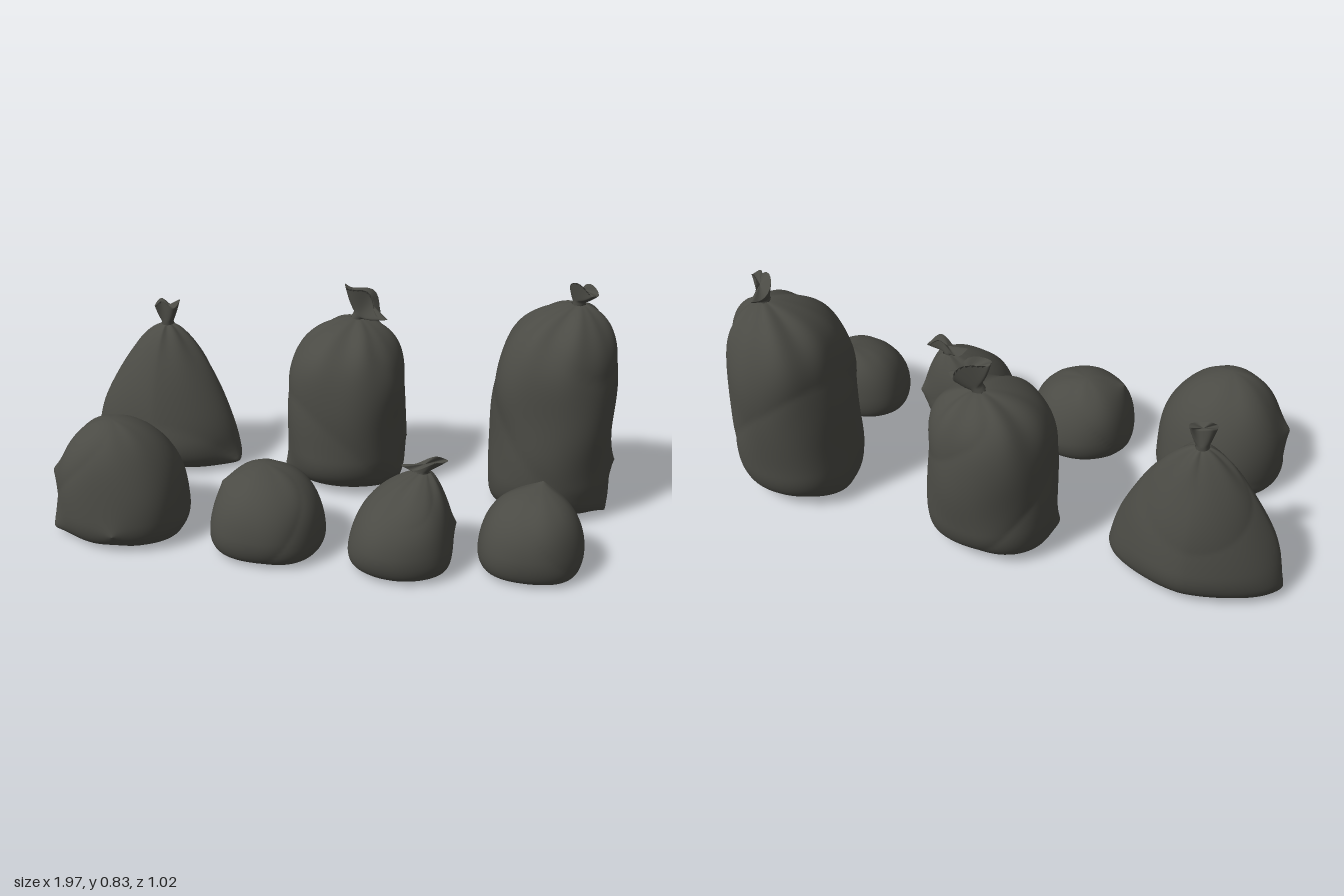
import * as THREE from 'three';

const plastic = new THREE.MeshStandardMaterial({ color: 0x4b4b45, side: THREE.DoubleSide });
plastic.name = 'dark grey plastic';

const FLOOR = 0.02, NECK = 0.022;
const vec = a => new THREE.Vector3(...a);
const spow = (v, p) => Math.sign(v) * Math.abs(v) ** p;

// Skin made of closed rings: point(row, angle) gives each vertex
function ringSkin(rows, sides, point) {
  const pos = [], idx = [];
  for (let j = 0; j <= rows; j++)
    for (let i = 0; i < sides; i++) pos.push(...point(j / rows, i / sides * Math.PI * 2).toArray());
  for (let j = 0; j < rows; j++)
    for (let i = 0; i < sides; i++) {
      const k = (i + 1) % sides, a = j * sides + i, b = j * sides + k;
      idx.push(a, a + sides, b, b, a + sides, b + sides);
    }
  const g = new THREE.BufferGeometry();
  g.setAttribute('position', new THREE.Float32BufferAttribute(pos, 3));
  g.setIndex(idx);
  g.computeVertexNormals();
  return g;
}

// Quarter-round narrowing towards the floor: amount lost at floor level, over a given height
function footScale(y, amount, height) {
  const u = 1 - Math.min(1, (y - FLOOR) / height);
  return 1 - amount * (1 - Math.sqrt(1 - u * u));
}

// Sack body: its outline shrinks towards the neck by w = (1 - h^p)^(1/q)
function sackBody({ x, z, neck, p, q, round = 2.15, keel = 0.22, corners, tuft }, seed) {
  const [nx, ny, nz] = neck, r = tuft ? NECK : 0, folds = tuft ? 0.1 : 0.03;
  const cx = (x[0] + x[1]) / 2, cz = (z[0] + z[1]) / 2;
  const rx = (x[1] - x[0]) / 2, rz = (z[1] - z[0]) / 2;
  return ringSkin(72, 80, (t, a) => {
    // flat underside first, then the wall from floor to neck
    const s = Math.max(0, (t - 0.1) / 0.9), h = (1 - Math.cos(Math.PI * s)) / 2;
    const y = FLOOR + h * (ny - FLOOR);
    const w = Math.max(0, 1 - h ** p) ** (1 / q);
    // gathers near the neck, broad dents and a few slanting creases
    const gather = folds * h ** 8 * (Math.sin(6 * a + seed) + 0.6 * Math.sin(9 * a + seed * 2));
    const dent = 0.012 * Math.sin(3 * a + y * 11 + seed) + 0.01 * Math.sin(5 * a - y * 15 + seed * 3)
      + 0.006 * Math.sin(2 * a + y * 22 + seed * 5);
    const crease = 0.022 * (1 - Math.abs(Math.sin(1.5 * Math.sin(a + seed) + y * 7 + seed))) ** 3;
    const k = Math.min(1, t / 0.1) * (0.995 + gather + dent - crease);
    const kx = k * footScale(y, 0.12, 0.06), kz = k * footScale(y, keel, 0.06 + keel * 0.15);
    const v = new THREE.Vector3(
      nx + (cx - nx) * w + spow(Math.cos(a), 2 / round) * kx * (r + (rx - r) * w), y,
      nz + (cz - nz) * w + spow(Math.sin(a), 2 / round) * kz * (r + (rz - r) * w));
    // pull the nearby skin out into pinched corners
    for (const c of corners) {
      const target = vec(c);
      v.lerp(target, 0.95 * Math.exp(-v.distanceToSquared(target) / 0.003));
    }
    return v;
  });
}

// Crumpled tuft flaring out of the tied neck
function tuftSkin(neck, { end, half }, seed) {
  const A = vec(neck), W = vec(half), axis = vec(end).sub(A);
  A.addScaledVector(axis, -0.1);
  const width = W.length(), thick = 0.014 + width * 0.12;
  const dir = W.clone().normalize(), up = axis.clone().normalize();
  const side = dir.clone().cross(up).normalize();
  return ringSkin(16, 40, (t, a) => {
    const open = t < 1 ? 1 : 0, s = open ? Math.min(1, t * 16 / 15) : 0.9, c = Math.cos(a);
    const flare = Math.max(0, (s - 0.25) / 0.75) ** 0.8;
    const wave = open * flare;
    return A.clone().addScaledVector(axis, s * 1.1)
      .addScaledVector(dir, open * c * (NECK + (width - NECK) * flare))
      .addScaledVector(side, open * Math.sin(a) * (NECK + (thick - NECK) * flare)
        + wave * thick * 0.7 * Math.sin(c * 3.5 + seed * 2))
      .addScaledVector(up, wave * width * 0.2 * Math.sin(c * 4 + seed));
  });
}

// Outline limits in x and z, neck point, profile powers, pinched corners, tied tuft
const sacks = {
  tallSack: { x: [0.55, 0.978], z: [-0.505, -0.055], neck: [0.82, 0.755, -0.3], p: 7.5, q: 1.4, keel: 0.55,
    corners: [[0.985, 0, -0.25], [0.995, 0.2, -0.28]],
    tuft: { end: [0.83, 0.815, -0.295], half: [0.035, 0.015, 0.08] } },
  middleSack: { x: [-0.2, 0.235], z: [-0.51, -0.07], neck: [0.042, 0.62, -0.333], p: 7, q: 1.45, keel: 0.5,
    corners: [[-0.23, 0.03, -0.21], [0.25, 0.2, -0.28]],
    tuft: { end: [0.085, 0.695, -0.335], half: [0.08, -0.06, 0.02] } },
  coneSack: { x: [-0.98, -0.38], z: [-0.44, -0.06], neck: [-0.67, 0.55, -0.27], p: 1.6, q: 1.4, round: 1.65, keel: 0.45,
    corners: [[-1, 0.005, -0.22], [-0.375, 0.035, -0.21]],
    tuft: { end: [-0.667, 0.63, -0.27], half: [0.042, 0, -0.022] } },
  slumpedSack: { x: [-0.86, -0.395], z: [0.08, 0.5], neck: [-0.64, 0.423, 0.32], p: 2.8, q: 1.9,
    corners: [[-0.88, 0.22, 0.34], [-0.85, 0.03, 0.43], [-0.58, 0.08, 0.505]] },
  lowSack: { x: [-0.3, 0.088], z: [0.095, 0.478], neck: [-0.125, 0.3, 0.26], p: 3, q: 1.9,
    corners: [[-0.25, 0.255, 0.33]] },
  smallTiedSack: { x: [0.175, 0.518], z: [0.11, 0.455], neck: [0.4, 0.315, 0.21], p: 3, q: 1.2,
    corners: [[0.52, 0.13, 0.18]],
    tuft: { end: [0.405, 0.345, 0.21], half: [0.075, 0.018, -0.018] } },
  smallSack: { x: [0.585, 0.932], z: [0.04, 0.36], neck: [0.775, 0.284, 0.17], p: 3, q: 1.9,
    corners: [[0.78, 0.298, 0.13]] },
};

export function createModel() {
  const model = new THREE.Group();
  model.name = 'filledSacks';
  Object.entries(sacks).forEach(([name, sack], i) => {
    const group = new THREE.Group(), seed = 1 + i * 1.1;
    group.name = name;
    const body = new THREE.Mesh(sackBody(sack, seed), plastic);
    body.name = 'body';
    group.add(body);
    if (sack.tuft) {
      const top = new THREE.Mesh(tuftSkin(sack.neck, sack.tuft, seed), plastic);
      top.name = 'tiedTop';
      group.add(top);
    }
    model.add(group);
  });
  return model;
}
